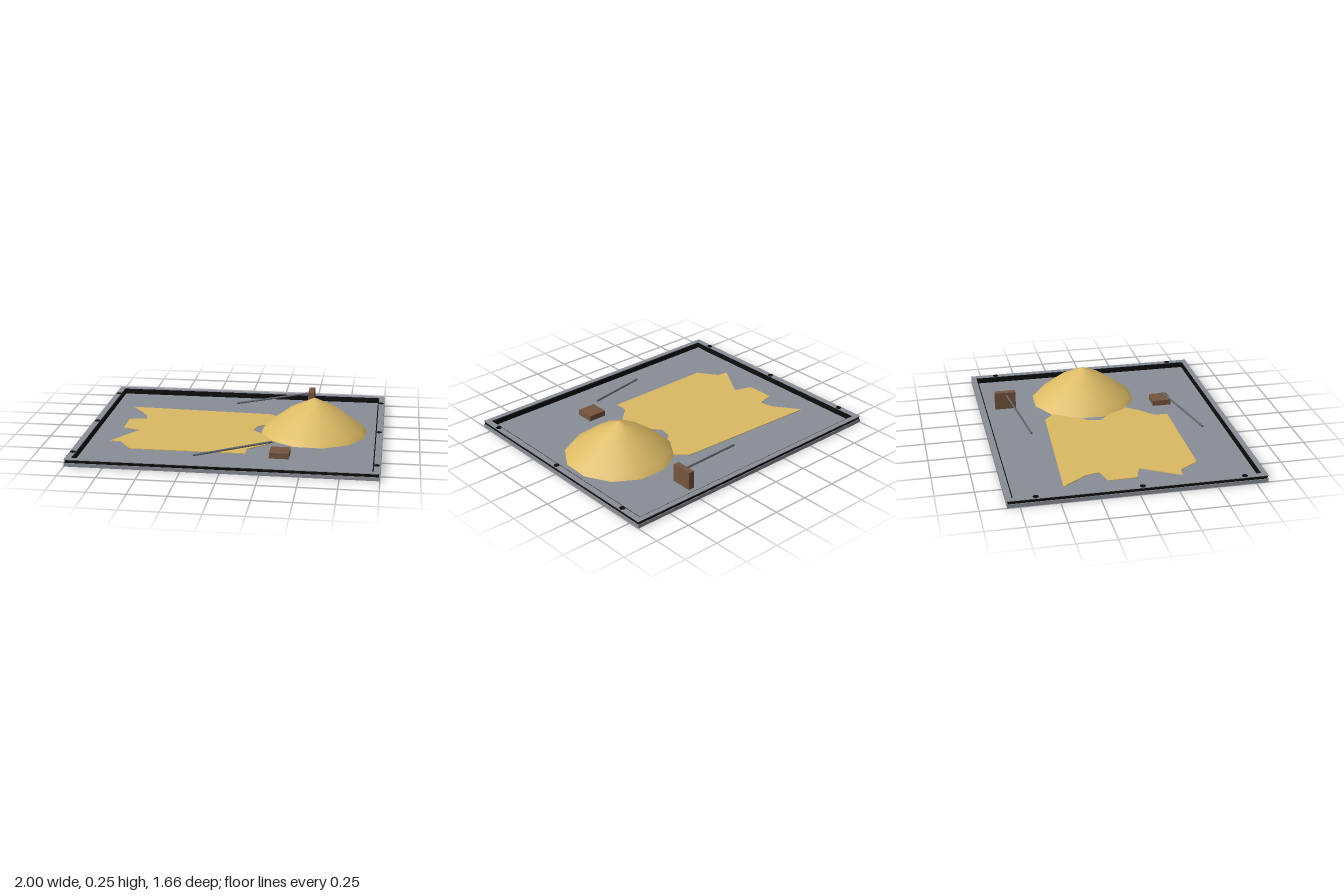
import * as THREE from 'three';

const mat = (name, color) => {
  const m = new THREE.MeshStandardMaterial({ color });
  m.name = name;
  return m;
};

export function createModel() {
  const metal = mat('grey metal', 0x8a8e97);
  const black = mat('black rubber', 0x0d0d0e);
  const sand = mat('sand', 0xdcba64);
  const wood = mat('brown wood', 0x74553f);
  const steel = mat('dark steel', 0x62666e);

  const model = new THREE.Group();
  model.name = 'sandTray';
  const add = (name, geometry, material, parent = model) => {
    const mesh = new THREE.Mesh(geometry, material);
    mesh.name = name;
    parent.add(mesh);
    return mesh;
  };

  // Flat shape drawn in x and z, filling the heights y0 to y1
  const slab = (shape, y0, y1) =>
    new THREE.ExtrudeGeometry(shape, { depth: y1 - y0, bevelEnabled: false })
      .rotateX(Math.PI / 2).translate(0, y1, 0);
  const rect = (w, d) => [[-w, -d], [w, -d], [w, d], [-w, d]].map(p => new THREE.Vector2(...p));
  const ring = (ow, od, iw, id, y0, y1) => {
    const shape = new THREE.Shape(rect(ow, od));
    shape.holes.push(new THREE.Path(rect(iw, id)));
    return slab(shape, y0, y1);
  };

  // Tray: floor, and rails with a black core between two grey flanges
  add('floor', new THREE.BoxGeometry(1.94, 0.004, 1.61).translate(0, 0.006, 0), metal);
  add('lowerRail', ring(1, 0.83, 0.96, 0.795, 0, 0.024), metal);
  add('railCore', ring(0.995, 0.825, 0.953, 0.788, 0.001, 0.044), black);
  add('upperRail', ring(1, 0.83, 0.96, 0.795, 0.044, 0.048), metal);

  // Bolts along the two short rails
  for (const side of [-1, 1]) {
    for (const z of [-0.65, 0.02, 0.68]) {
      add('bolt', new THREE.CylinderGeometry(0.019, 0.019, 0.003, 8).translate(side * 0.977, 0.0495, z), black);
    }
  }

  // Spread sand with ragged ends
  const outline = [
    [-0.815, -0.45], [0.2, -0.4], [0.31, -0.3], [0.32, -0.2], [0.18, -0.15], [0.13, -0.11],
    [0.115, -0.02], [0.21, 0.07], [0.32, 0.14], [0.29, 0.19], [0.23, 0.27], [0.12, 0.37],
    [0.12, 0.46], [-0.65, 0.46], [-0.74, 0.33], [-0.815, 0.32], [-0.665, 0.07],
    [-0.785, 0.03], [-0.79, -0.16], [-0.67, -0.19], [-0.69, -0.28],
  ].map(p => new THREE.Vector2(...p));
  add('sandPatch', slab(new THREE.Shape(outline), 0.008, 0.012), sand);

  // Sand heap, twelve-sided
  const profile = [[0.367, 0.008], [0.335, 0.042], [0.168, 0.168], [0, 0.25]]
    .map(p => new THREE.Vector2(...p));
  add('sandHeap', new THREE.LatheGeometry(profile, 12, THREE.MathUtils.degToRad(13)), sand)
    .position.set(0.53, 0, -0.07);

  // Long-handled tools: a block head and a sloping rod
  const tool = (name, size, centre, from, to) => {
    const group = new THREE.Group();
    group.name = name;
    add('head', new THREE.BoxGeometry(...size), wood, group).position.set(...centre);
    const a = new THREE.Vector3(...from), b = new THREE.Vector3(...to);
    const rod = add('handle', new THREE.CylinderGeometry(0.007, 0.007, a.distanceTo(b), 8), steel, group);
    rod.position.copy(a).add(b).multiplyScalar(0.5);
    rod.quaternion.setFromUnitVectors(new THREE.Vector3(0, 1, 0), b.sub(a).normalize());
    model.add(group);
  };
  tool('frontTool', [0.13, 0.038, 0.13], [0.345, 0.027, 0.463], [-0.2, 0.043, 0.627], [0.295, 0.102, 0.465]);
  tool('backTool', [0.042, 0.123, 0.146], [0.47, 0.0695, -0.643], [-0.07, 0.043, -0.536], [0.455, 0.112, -0.635]);

  return model;
}
